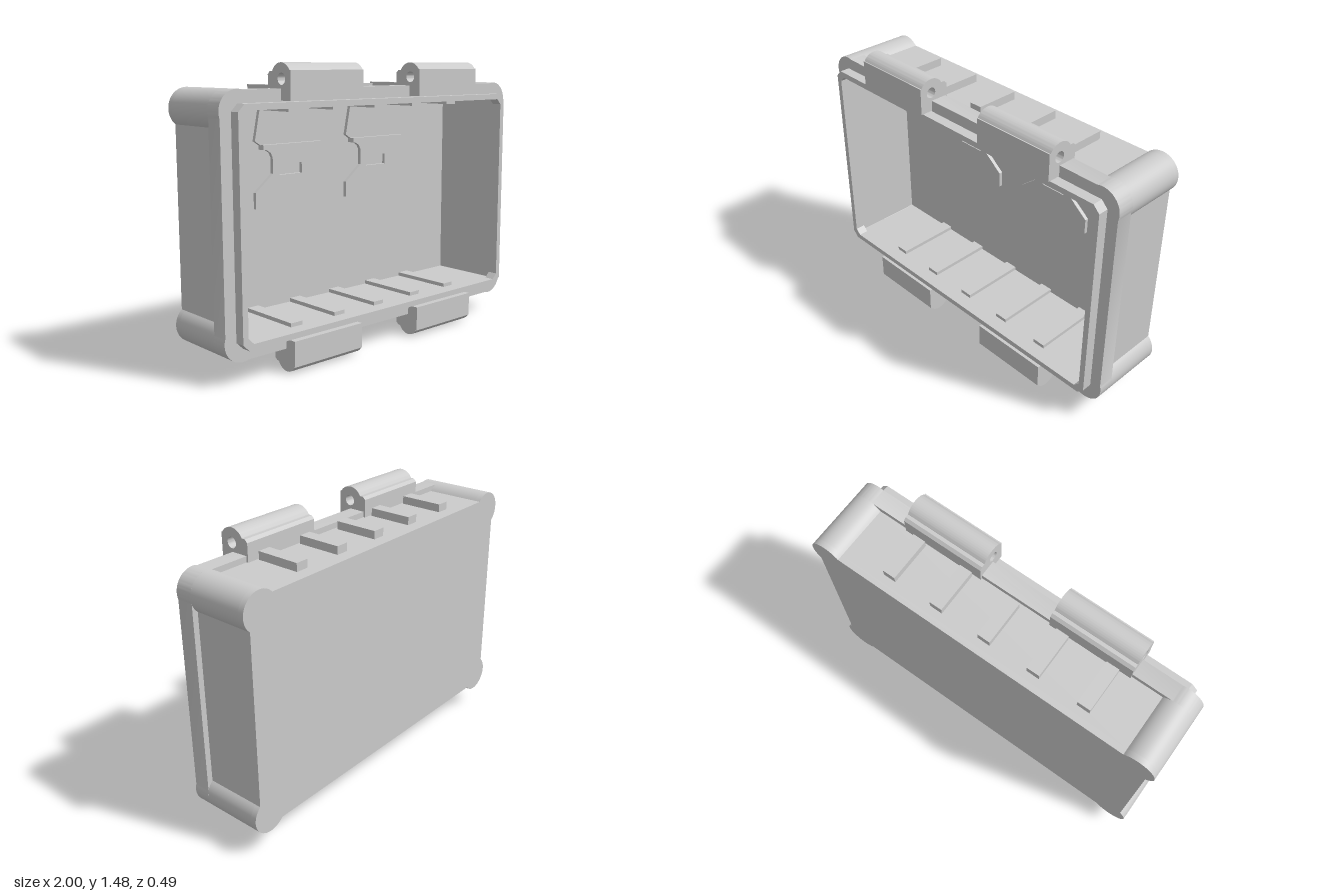
import * as THREE from 'three';
import { toCreasedNormals } from 'three/addons/utils/BufferGeometryUtils.js';

const CY = 0.74; // mid height of the case
const material = new THREE.MeshStandardMaterial({ color: 0xcccccc });

function extrude(shape, z0, z1) {
  const geo = new THREE.ExtrudeGeometry(shape, { depth: z1 - z0, bevelEnabled: false, curveSegments: 14 });
  geo.translate(0, 0, z0);
  return toCreasedNormals(geo, 0.5);
}

// Rectangle whose four corners swell into round posts; d is how far the flats lie beyond the post centres
function postedOutline(d) {
  const r = 0.1, cx = 0.9, cy = 0.53, a = Math.acos(d / r);
  const shape = new THREE.Shape();
  [[1, 1], [-1, 1], [-1, -1], [1, -1]].forEach(([sx, sy], i) => {
    const start = i * Math.PI / 2 - a, end = (i + 1) * Math.PI / 2 + a;
    shape.absarc(sx * cx, CY + sy * cy, r, start, end, false);
  });
  shape.closePath();
  return shape;
}

// Rectangle with cut corners
function cutRect(w, h, c, Type = THREE.Shape) {
  const points = [[w, c - h], [w, h - c], [w - c, h], [c - w, h], [-w, h - c], [-w, c - h], [c - w, -h], [w - c, -h]];
  return new Type(points.map(([x, y]) => new THREE.Vector2(x, y + CY)));
}

export function createModel() {
  const model = new THREE.Group();
  model.name = 'hingedCase';

  function add(name, geometry, x = 0, y = 0, z = 0) {
    const mesh = new THREE.Mesh(geometry, material);
    mesh.name = name;
    mesh.position.set(x, y, z);
    model.add(mesh);
    return mesh;
  }

  // Case shell: front band, recessed walls between corner posts, back panel
  const cavity = () => cutRect(0.905, 0.535, 0.001, THREE.Path);
  const band = postedOutline(0.095);
  band.holes.push(cavity());
  add('frontBand', extrude(band, 0.085, 0.175));
  const walls = postedOutline(0.065);
  walls.holes.push(cavity());
  add('recessedWalls', extrude(walls, -0.215, 0.085));
  add('backPanel', extrude(postedOutline(0.065), -0.245, -0.215));

  // Raised sealing lip around the opening
  const lip = cutRect(0.935, 0.565, 0.035);
  lip.holes.push(cutRect(0.905, 0.535, 0.03, THREE.Path));
  add('sealingLip', extrude(lip, 0.175, 0.23));

  // Ribs on top and bottom, outside and inside
  const outerRib = new THREE.BoxGeometry(0.07, 0.05, 0.24);
  const innerRib = new THREE.BoxGeometry(0.07, 0.025, 0.365);
  for (let i = -2; i <= 2; i++) {
    for (const s of [1, -1]) {
      add('outerRib', outerRib, i * 0.28, CY + s * 0.613, -0.055);
      add('innerRib', innerRib, i * 0.28, CY + s * 0.5275, -0.0325);
    }
  }

  // Hinge and latch sections, drawn as (z, y) and run along x
  function alongX(shape, width) {
    const geo = extrude(shape, -width / 2, width / 2);
    geo.rotateY(-Math.PI / 2);
    return geo;
  }
  const hinge = new THREE.Shape();
  hinge.moveTo(0.175, 1.31);
  hinge.lineTo(0.245, 1.31);
  hinge.lineTo(0.245, 1.45);
  hinge.lineTo(0.238, 1.45);
  hinge.absarc(0.175, 1.41, 0.075, 0.56, 2.65, false);
  hinge.lineTo(0.09, 1.445);
  hinge.lineTo(0.075, 1.43);
  hinge.lineTo(0.075, 1.33);
  hinge.lineTo(0.175, 1.33);
  hinge.closePath();
  hinge.holes.push(new THREE.Path().absarc(0.178, 1.41, 0.028, 0, Math.PI * 2, true));

  const latch = new THREE.Shape();
  latch.moveTo(0.175, 0.165);
  latch.lineTo(0.24, 0.165);
  latch.lineTo(0.24, 0.035);
  latch.lineTo(0.232, 0.035);
  latch.absarc(0.175, 0.07, 0.07, -0.55, -2.65, true);
  latch.lineTo(0.1, 0.038);
  latch.lineTo(0.085, 0.05);
  latch.lineTo(0.085, 0.15);
  latch.lineTo(0.175, 0.15);
  latch.closePath();

  const hingeGeo = alongX(hinge, 0.455);
  const latchGeo = alongX(latch, 0.44);
  for (const s of [1, -1]) {
    add('topHinge', hingeGeo, s * 0.4275);
    add('bottomLatch', latchGeo, s * 0.425);
  }

  // Mounting brackets on the inside of the back panel
  const half = [[0.19, 1.275], [0.228, 1.09], [0.19, 1.065], [0.19, 1.045], [0.155, 1.04], [0.13, 1.025],
    [0.117, 1.0], [0.117, 0.915], [0.228, 0.825], [0.228, 0.74]];
  const mirrored = half.map(([x, y]) => [-x, y]).reverse();
  const plate = new THREE.Shape([...half, ...mirrored].map(([x, y]) => new THREE.Vector2(x, y)));
  plate.holes.push(new THREE.Path([[-0.075, 0.905], [0.075, 0.905], [0.075, 0.962], [-0.075, 0.962]]
    .map(([x, y]) => new THREE.Vector2(x, y))));
  plate.holes.push(new THREE.Path().absarc(0, 0.785, 0.025, 0, Math.PI * 2, true));
  const plateGeo = extrude(plate, -0.216, -0.195);
  const ledgeGeo = new THREE.BoxGeometry(0.385, 0.025, 0.045);
  for (const x of [-0.313, 0.307]) {
    add('bracketPlate', plateGeo, x);
    add('bracketLedge', ledgeGeo, x, 1.057, -0.193);
  }

  return model;
}
